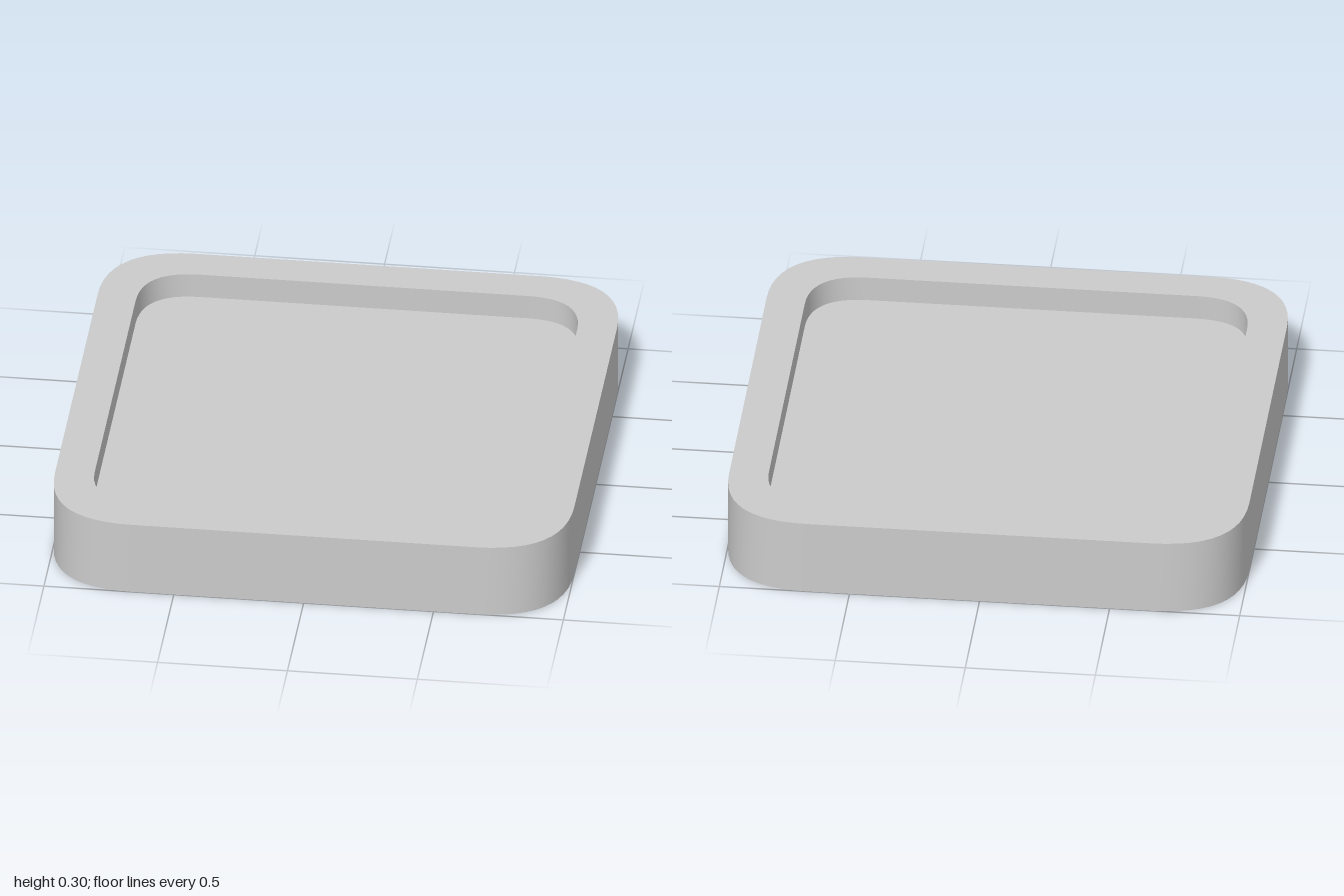
import * as THREE from 'three';

const HEIGHT = 0.3, FLOOR = 0.2;

// Outline of a softly rounded square, counter-clockwise, without a repeated end point
function outline(half, corner, steps = 12) {
  const pts = [];
  for (let k = 0; k < 4; k++) {
    const curve = new THREE.QuadraticBezierCurve(
      new THREE.Vector2(half, half - corner),
      new THREE.Vector2(half, half),
      new THREE.Vector2(half - corner, half));
    for (const p of curve.getPoints(steps)) {
      pts.push(p.rotateAround(new THREE.Vector2(), k * Math.PI / 2));
    }
  }
  return pts;
}

// Vertical wall along a closed outline, smooth around the corners
function wall(pts, y0, y1, inward) {
  const pos = [], idx = [], n = pts.length;
  pts.forEach((p, i) => {
    pos.push(p.x, y0, -p.y, p.x, y1, -p.y);
    const a = 2 * i, b = 2 * ((i + 1) % n);
    if (inward) idx.push(a, b + 1, b, a, a + 1, b + 1);
    else idx.push(a, b, b + 1, a, b + 1, a + 1);
  });
  const g = new THREE.BufferGeometry();
  g.setAttribute('position', new THREE.Float32BufferAttribute(pos, 3));
  g.setIndex(idx);
  g.computeVertexNormals();
  return g;
}

// Flat horizontal face, with an optional hole
function face(pts, y, hole) {
  const shape = new THREE.Shape(pts);
  if (hole) shape.holes.push(new THREE.Path(hole));
  return new THREE.ShapeGeometry(shape).rotateX(-Math.PI / 2).translate(0, y, 0);
}

export function createModel() {
  const group = new THREE.Group();
  group.name = 'tray';
  const material = new THREE.MeshStandardMaterial({ color: 0xcccccc });
  const add = (name, geometry) => {
    const mesh = new THREE.Mesh(geometry, material);
    mesh.name = name;
    group.add(mesh);
  };

  const outer = outline(1, 0.34);
  const inner = outline(0.85, 0.22);

  add('outerWall', wall(outer, 0, HEIGHT, false));
  add('rim', face(outer, HEIGHT, inner));
  add('innerWall', wall(inner, FLOOR, HEIGHT, true));
  add('trayFloor', face(inner, FLOOR));
  // Underside, turned over to face down
  add('underside', face(outer, 0).rotateX(Math.PI));
  return group;
}
